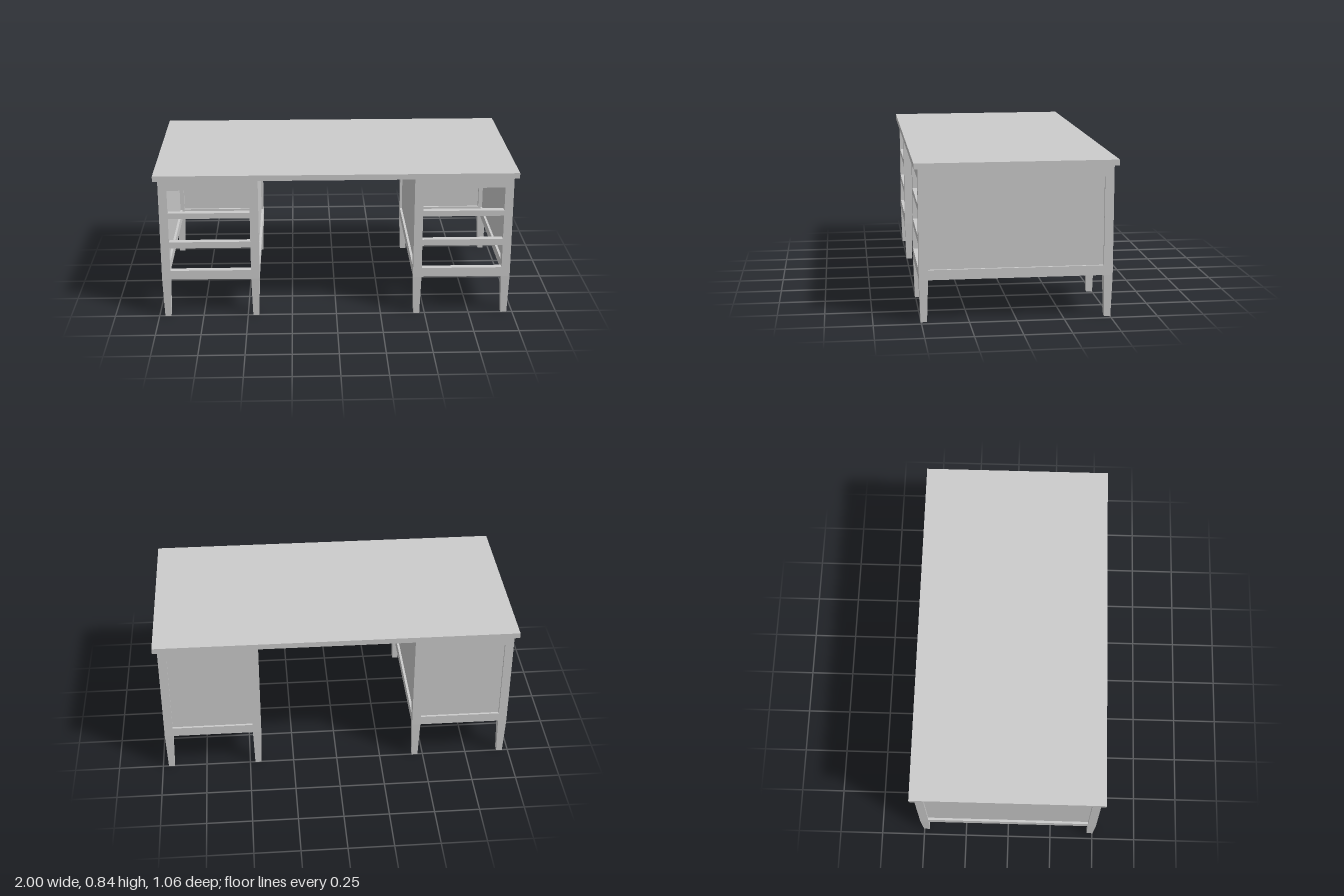
import * as THREE from 'three';

const material = new THREE.MeshStandardMaterial({ color: 0xcccccc, flatShading: true });

// Box given by its min and max corners
function box(name, x0, x1, y0, y1, z0, z1) {
  const mesh = new THREE.Mesh(new THREE.BoxGeometry(x1 - x0, y1 - y0, z1 - z0), material);
  mesh.position.set((x0 + x1) / 2, (y0 + y1) / 2, (z0 + z1) / 2);
  mesh.name = name;
  return mesh;
}

const TOP = 0.812;                 // underside of the desktop
const LEG = 0.048;                 // square post width
const X0 = 0.43, X1 = 0.975, Z = 0.51; // pedestal outline
const RAIL = 0.036;                // rail thickness
const RECESS = 0.013, PANEL = 0.01;
const BOTTOM = [0.226, 0.279], UPPER = [0.753, 0.808];

// Square post whose foot tapers below the bottom rail
function leg(x, z) {
  const geo = new THREE.BoxGeometry(LEG, TOP, LEG, 1, 2, 1);
  const p = geo.attributes.position;
  for (let i = 0; i < p.count; i++) {
    const y = p.getY(i);
    if (y < -0.1) {
      p.setX(i, p.getX(i) * 0.7);
      p.setZ(i, p.getZ(i) * 0.7);
    } else if (y < 0.1) p.setY(i, BOTTOM[0] - TOP / 2);
  }
  geo.computeVertexNormals();
  const mesh = new THREE.Mesh(geo, material);
  mesh.position.set(x, TOP / 2, z);
  mesh.name = 'leg';
  return mesh;
}

function pedestal(name) {
  const g = new THREE.Group();
  g.name = name;
  const xa = X0 + LEG, xb = X1 - LEG, zi = Z - LEG;

  for (const x of [X0 + LEG / 2, X1 - LEG / 2])
    for (const z of [Z - LEG / 2, -Z + LEG / 2]) g.add(leg(x, z));

  // Framed side and back walls
  for (const [y0, y1] of [BOTTOM, UPPER]) {
    g.add(box('innerSideRail', X0, X0 + RAIL, y0, y1, -zi, zi));
    g.add(box('outerSideRail', X1 - RAIL, X1, y0, y1, -zi, zi));
    g.add(box('backRail', xa, xb, y0, y1, -Z, -Z + RAIL));
  }
  const [y0, y1] = [BOTTOM[1], UPPER[0]];
  g.add(box('innerSidePanel', X0 + RECESS, X0 + RECESS + PANEL, y0, y1, -zi, zi));
  g.add(box('outerSidePanel', X1 - RECESS - PANEL, X1 - RECESS, y0, y1, -zi, zi));
  g.add(box('backPanel', xa, xb, y0, y1, -Z + RECESS, -Z + RECESS + PANEL));

  // Front rails between the open drawer bays
  for (const [a, b] of [BOTTOM, [0.414, 0.45], [0.588, 0.62], UPPER])
    g.add(box('drawerRail', xa, xb, a, b, Z - RAIL, Z));
  return g;
}

export function createModel() {
  const desk = new THREE.Group();
  desk.name = 'desk';
  desk.add(box('desktop', -1, 1, TOP, 0.843, -0.532, 0.532));
  desk.add(pedestal('leftPedestal'));
  // The pedestal is symmetric in x, so the other one is a shifted copy
  const right = pedestal('rightPedestal');
  right.position.x = -(X0 + X1);
  desk.add(right);
  return desk;
}
